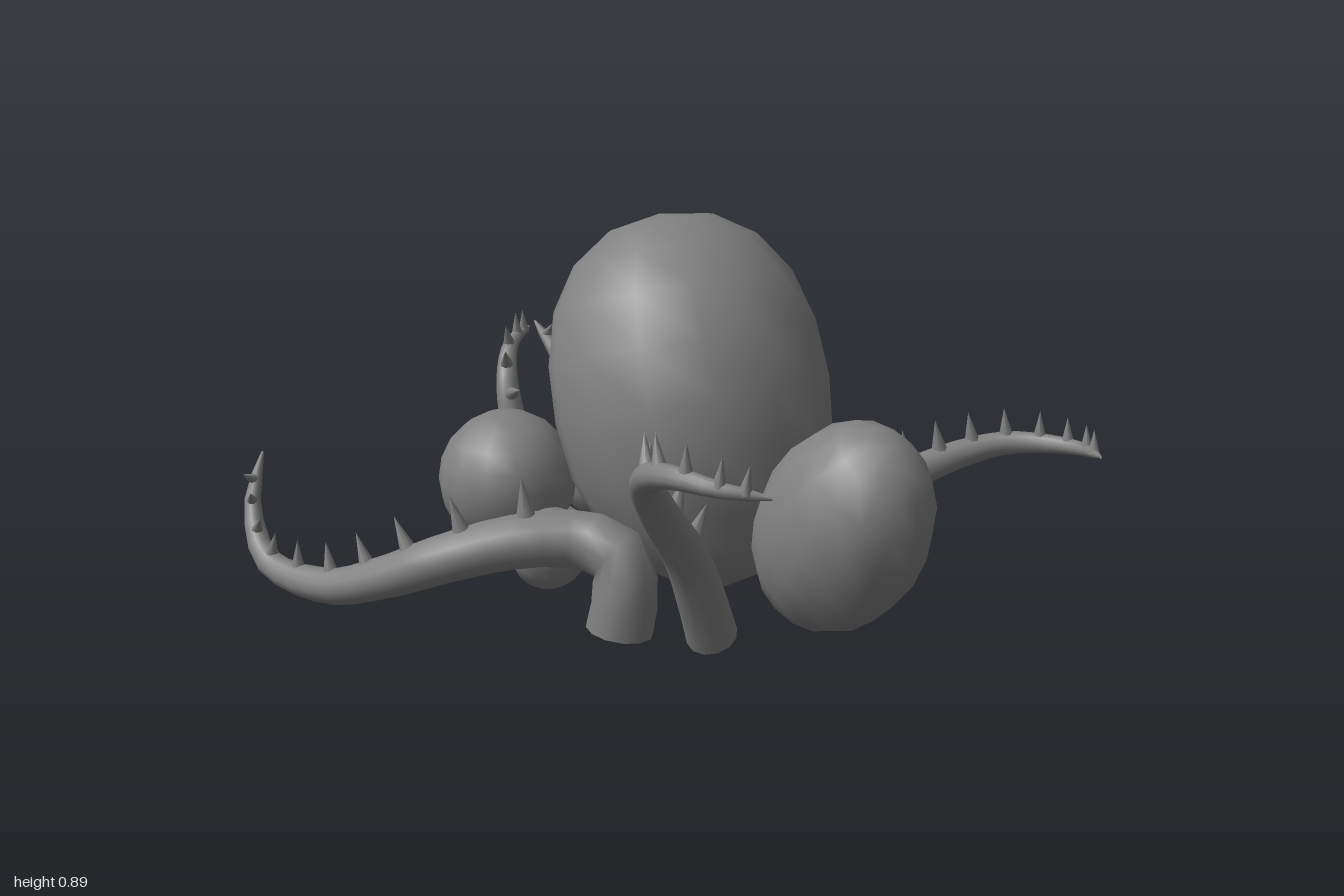
import * as THREE from 'three';

const UP = new THREE.Vector3(0, 1, 0);
const mat = new THREE.MeshStandardMaterial({ color: 0x808080 });
const openMat = new THREE.MeshStandardMaterial({ color: 0x808080, side: THREE.DoubleSide });

// Ellipsoid with its long axis turned along a direction
function egg(name, center, radii, axis = [0, 1, 0]) {
  const mesh = new THREE.Mesh(new THREE.SphereGeometry(1, 14, 10), mat);
  mesh.name = name;
  mesh.scale.set(...radii);
  mesh.position.set(...center);
  mesh.quaternion.setFromUnitVectors(UP, new THREE.Vector3(...axis).normalize());
  return mesh;
}

// Fill out the shoulders of an egg's upper half
function bluntTop(mesh) {
  const pos = mesh.geometry.attributes.position;
  for (let i = 0; i < pos.count; i++) {
    const y = pos.getY(i);
    if (y <= 0 || y > 0.999) continue;
    const k = Math.pow(1 - Math.pow(y, 2.5), 0.45) / Math.sqrt(1 - y * y);
    pos.setXYZ(i, pos.getX(i) * k, y, pos.getZ(i) * k);
  }
  return mesh;
}

// Tapered, open-ended tube with a row of spikes along its upper side
function tentacle(name, points, baseRadius, spikes, firstSpike) {
  const group = new THREE.Group();
  group.name = name;
  const curve = new THREE.CatmullRomCurve3(points.map(p => new THREE.Vector3(...p)));
  const radiusAt = t => baseRadius * Math.pow(1 - t, 0.6) + 0.003;

  const rings = 24, sides = 12;
  const geo = new THREE.TubeGeometry(curve, rings, 1, sides);
  const pos = geo.attributes.position;
  const v = new THREE.Vector3();
  for (let i = 0; i <= rings; i++) {
    const c = curve.getPointAt(i / rings);
    for (let j = 0; j <= sides; j++) {
      const k = i * (sides + 1) + j;
      v.fromBufferAttribute(pos, k).sub(c).multiplyScalar(radiusAt(i / rings)).add(c);
      pos.setXYZ(k, v.x, v.y, v.z);
    }
  }
  const arm = new THREE.Mesh(geo, openMat);
  arm.name = name + 'Arm';
  group.add(arm);

  // Spikes get smaller and closer together towards the tip
  for (let i = 0; i < spikes; i++) {
    const u = i / (spikes - 1);
    const t = firstSpike + (0.95 - firstSpike) * (1 - Math.pow(1 - u, 1.3));
    const tangent = curve.getTangentAt(t);
    const out = UP.clone().addScaledVector(tangent, -tangent.y).normalize();
    const size = 1 - 0.5 * t;
    const height = 0.11 * size;
    const spike = new THREE.Mesh(new THREE.ConeGeometry(0.027 * size, height, 8), mat);
    spike.name = 'spike';
    spike.quaternion.setFromUnitVectors(UP, out);
    spike.position.copy(curve.getPointAt(t)).addScaledVector(out, radiusAt(t) + height * 0.5 - 0.012);
    group.add(spike);
  }
  return group;
}

export function createModel() {
  const model = new THREE.Group();
  model.name = 'tentacledPods';

  // Large central body and the pods around it
  model.add(
    bluntTop(egg('body', [0.135, 0.455, 0.005], [0.306, 0.435, 0.328], [-0.292, 0.956, 0])),
    egg('leftPod', [0.67, 0.295, 0.02], [0.197, 0.267, 0.167], [0.58, 0.815, 0]),
    egg('frontRightPod', [-0.212, 0.235, 0.29], [0.164, 0.166, 0.164]),
    egg('backLeftPod', [0.475, 0.18, -0.235], [0.108, 0.18, 0.108], [0.28, 0.72, -0.63]),
    egg('rightPod', [-0.2, 0.2, 0.04], [0.1, 0.1, 0.09]),
    egg('frontPod', [0.03, 0.135, 0.33], [0.07, 0.095, 0.1])
  );

  // Tentacles, each path running from the base to the tip
  model.add(
    tentacle('frontTentacle', [
      [0.315, 0.03, 0.345], [0.325, 0.12, 0.335], [0.3, 0.195, 0.335], [0.22, 0.22, 0.385],
      [0.136, 0.215, 0.5], [0.03, 0.17, 0.625], [-0.08, 0.115, 0.69], [-0.24, 0.06, 0.76],
      [-0.45, 0.075, 0.808], [-0.56, 0.18, 0.785], [-0.595, 0.29, 0.735]], 0.072, 10, 0.27),
    tentacle('rightTentacle', [
      [-0.105, 0.02, -0.125], [-0.11, 0.12, -0.125], [-0.17, 0.215, -0.135], [-0.29, 0.25, -0.155],
      [-0.5, 0.235, -0.23], [-0.72, 0.235, -0.29], [-0.88, 0.295, -0.325], [-1, 0.39, -0.315]],
      0.072, 8, 0.24),
    tentacle('leftTentacle', [
      [0.445, 0.02, 0.19], [0.465, 0.12, 0.235], [0.495, 0.24, 0.3], [0.56, 0.375, 0.42],
      [0.69, 0.505, 0.55], [0.83, 0.555, 0.595], [0.93, 0.55, 0.565], [0.995, 0.535, 0.49]],
      0.054, 9, 0.25),
    tentacle('backTentacle', [
      [0.3, 0.04, -0.25], [0.3, 0.13, -0.26], [0.31, 0.195, -0.33], [0.335, 0.225, -0.455],
      [0.365, 0.265, -0.64], [0.415, 0.285, -0.75], [0.5, 0.29, -0.815], [0.585, 0.295, -0.828],
      [0.677, 0.305, -0.785]], 0.05, 9, 0.28),
    tentacle('shortRightTentacle', [
      [-0.25, 0.05, 0.08], [-0.32, 0.085, 0.1], [-0.385, 0.17, 0.11], [-0.43, 0.28, 0.125],
      [-0.47, 0.39, 0.12], [-0.53, 0.465, 0.07], [-0.595, 0.49, -0.03]], 0.046, 8, 0.22)
  );
  return model;
}
